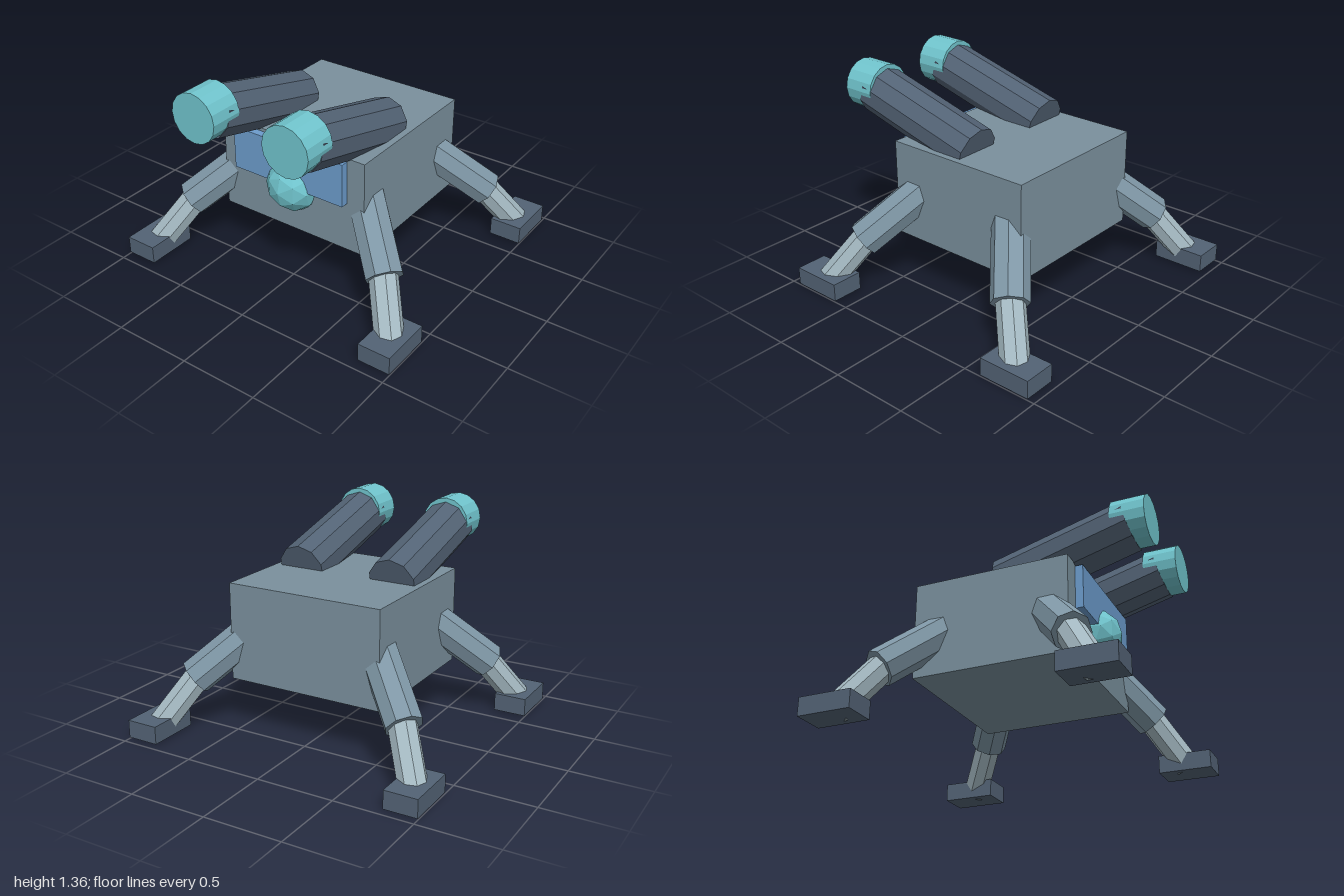
import * as THREE from 'three';

function mat(name, color) {
  const m = new THREE.MeshStandardMaterial({ color, flatShading: true });
  m.name = name;
  return m;
}

export function createModel() {
  const hull = mat('hullGrey', 0x7a909d);
  const thighGrey = mat('legGrey', 0x7f97a6);
  const shinGrey = mat('paleGrey', 0xa5bac3);
  const slate = mat('darkSlate', 0x536375);
  const teal = mat('teal', 0x70c4cd);
  const blue = mat('panelBlue', 0x6c9ccc);

  const model = new THREE.Group();
  model.name = 'quadrupedWalker';

  function add(name, geometry, material, x, y, z, parent = model) {
    const mesh = new THREE.Mesh(geometry, material);
    mesh.name = name;
    mesh.position.set(x, y, z);
    parent.add(mesh);
    return mesh;
  }

  // Cylinder running between two points
  function strut(name, a, b, radius, sides, material, parent) {
    const from = new THREE.Vector3(...a);
    const to = new THREE.Vector3(...b);
    const dir = to.clone().sub(from);
    const geo = new THREE.CylinderGeometry(radius, radius, dir.length(), sides);
    const mid = from.add(to).multiplyScalar(0.5);
    const mesh = add(name, geo, material, mid.x, mid.y, mid.z, parent);
    mesh.quaternion.setFromUnitVectors(new THREE.Vector3(0, 1, 0), dir.normalize());
    return mesh;
  }

  // Body, front panel and faceted eye
  add('body', new THREE.BoxGeometry(1.04, 0.62, 1), hull, 0, 0.66, -0.01);
  add('frontPanel', new THREE.BoxGeometry(0.8, 0.28, 0.1), blue, 0, 0.81, 0.49);
  add('eye', new THREE.IcosahedronGeometry(0.176, 1), teal, 0, 0.66, 0.46);

  // Twin cannons: tilted barrel with a level muzzle
  for (const side of [-1, 1]) {
    const cannon = new THREE.Group();
    cannon.name = side > 0 ? 'leftCannon' : 'rightCannon';
    model.add(cannon);
    const barrel = add('barrel', new THREE.CylinderGeometry(0.16, 0.16, 0.857, 10),
      slate, side * 0.325, 1.077, 0.411, cannon);
    barrel.rotation.x = Math.PI / 2 - THREE.MathUtils.degToRad(15);
    const muzzle = add('muzzle', new THREE.CylinderGeometry(0.157, 0.157, 0.215, 16),
      teal, side * 0.325, 1.2, 0.847, cannon);
    muzzle.rotation.x = Math.PI / 2;
  }

  // Four splayed legs
  const zMid = -0.01;
  for (const sx of [-1, 1]) {
    for (const sz of [-1, 1]) {
      const leg = new THREE.Group();
      leg.name = (sz > 0 ? 'front' : 'back') + (sx > 0 ? 'Left' : 'Right') + 'Leg';
      model.add(leg);
      const p = (x, y, z) => [sx * x, y, zMid + sz * z];
      strut('upperLeg', p(0.4, 0.69, 0.325), p(0.735, 0.348, 0.6), 0.117, 8, thighGrey, leg);
      strut('lowerLeg', p(0.7, 0.39, 0.57), p(0.89, 0.058, 0.77), 0.088, 8, shinGrey, leg);
      add('foot', new THREE.BoxGeometry(0.21, 0.115, 0.34), slate,
        sx * 0.895, 0.0675, zMid + sz * 0.775, leg);
    }
  }

  return model;
}
